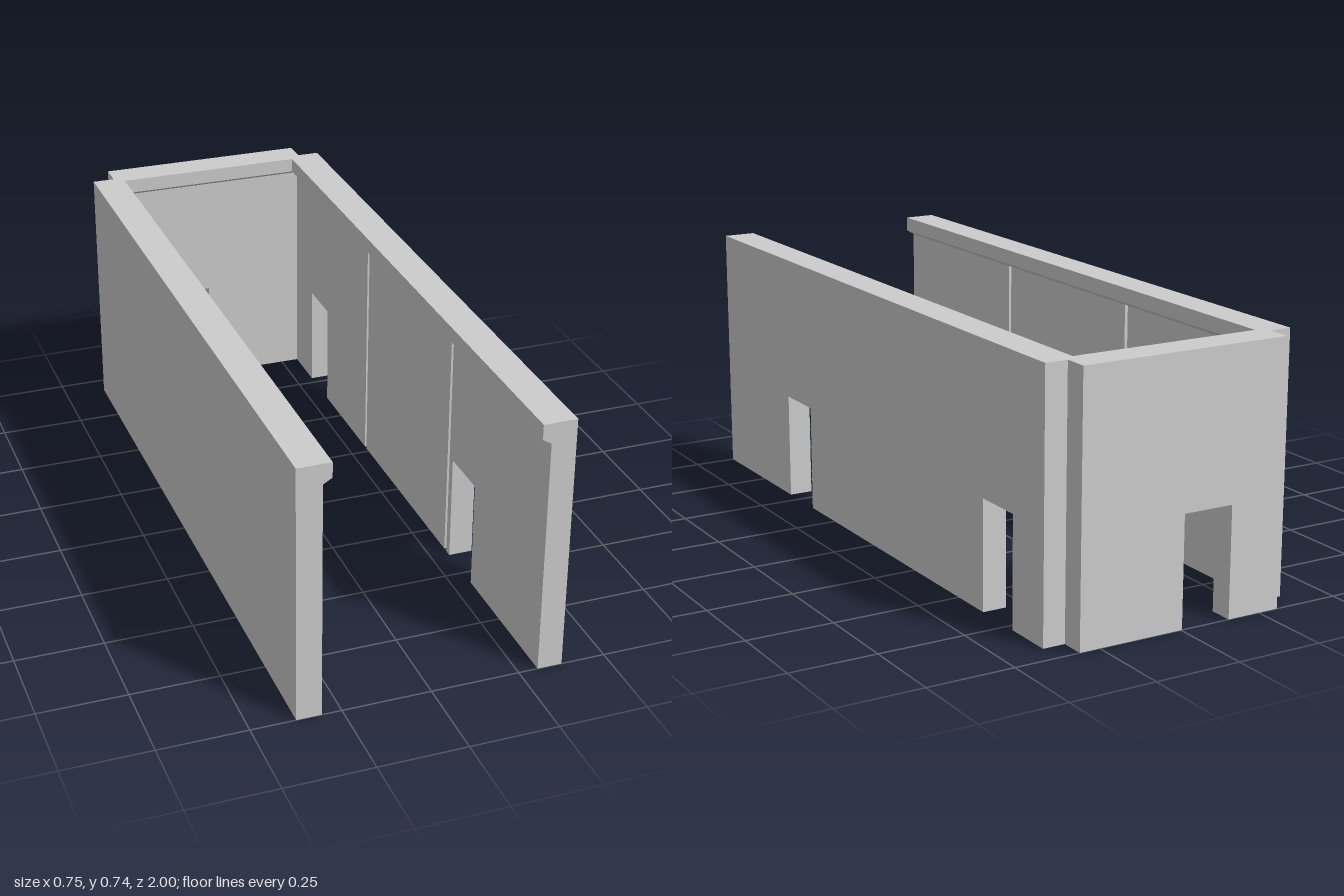
import * as THREE from 'three';

const HEIGHT = 0.743;
const RIM_Y = 0.685; // underside of the thicker top rim
const DOOR_H = 0.315;
const THICK = 0.07;
const GROOVE = 0.014;

const material = new THREE.MeshStandardMaterial({ color: 0xcccccc, flatShading: true });

// Upright slab from u0 to u1 with door notches cut up from its lower edge
function slab(name, u0, u1, doors, w0, w1) {
  const s = new THREE.Shape();
  s.moveTo(u0, 0);
  for (const [a, b] of doors) {
    if (a < u0 || b > u1) continue;
    s.lineTo(a, 0);
    s.lineTo(a, DOOR_H);
    s.lineTo(b, DOOR_H);
    s.lineTo(b, 0);
  }
  s.lineTo(u1, 0);
  s.lineTo(u1, RIM_Y);
  s.lineTo(u0, RIM_Y);
  const geo = new THREE.ExtrudeGeometry(s, { depth: w1 - w0, bevelEnabled: false });
  geo.translate(0, 0, w0);
  const mesh = new THREE.Mesh(geo, material);
  mesh.name = name;
  return mesh;
}

// Top rim that overhangs inward above a chamfer
function rim(u0, u1) {
  const profile = [[0, RIM_Y], [0, HEIGHT], [0.095, HEIGHT], [0.095, 0.7], [THICK, RIM_Y]];
  const s = new THREE.Shape(profile.map(([w, y]) => new THREE.Vector2(-w, y)));
  const geo = new THREE.ExtrudeGeometry(s, { depth: u1 - u0, bevelEnabled: false });
  geo.rotateY(Math.PI / 2).translate(u0, 0, 0);
  const mesh = new THREE.Mesh(geo, material);
  mesh.name = 'topRim';
  return mesh;
}

// Wall along local x: outer face at local z = 0, inside towards +z.
// Inner lining is split by narrow vertical grooves. Doors run in ascending order.
function wall(name, u0, u1, doors, grooves) {
  const g = new THREE.Group();
  g.name = name;
  const lining = grooves.length ? THICK - GROOVE : THICK;
  g.add(slab('outerPanel', u0, u1, doors, 0, lining));
  if (grooves.length) {
    let start = u0;
    for (const c of [...grooves, null]) {
      const end = c === null ? u1 : c - GROOVE / 2;
      g.add(slab('innerPanel', start, end, doors, lining, THICK));
      start = end + GROOVE;
    }
  }
  g.add(rim(u0, u1));
  return g;
}

export function createModel() {
  const model = new THREE.Group();
  model.name = 'corridor';

  // Left wall with two doorways
  const left = wall('leftWall', -0.93, 1, [[-0.78, -0.63], [0.4, 0.555]], [-0.275, 0.37]);
  left.rotation.y = -Math.PI / 2;
  left.position.x = 0.375;

  // Closed right wall
  const right = wall('rightWall', -1, 0.93, [], [-0.37, 0.275]);
  right.rotation.y = Math.PI / 2;
  right.position.x = -0.375;

  // Back wall with one off-centre doorway
  const back = wall('backWall', -0.31, 0.31, [[-0.152, -0.003]], []);
  back.position.z = -1;

  model.add(left, right, back);
  return model;
}
